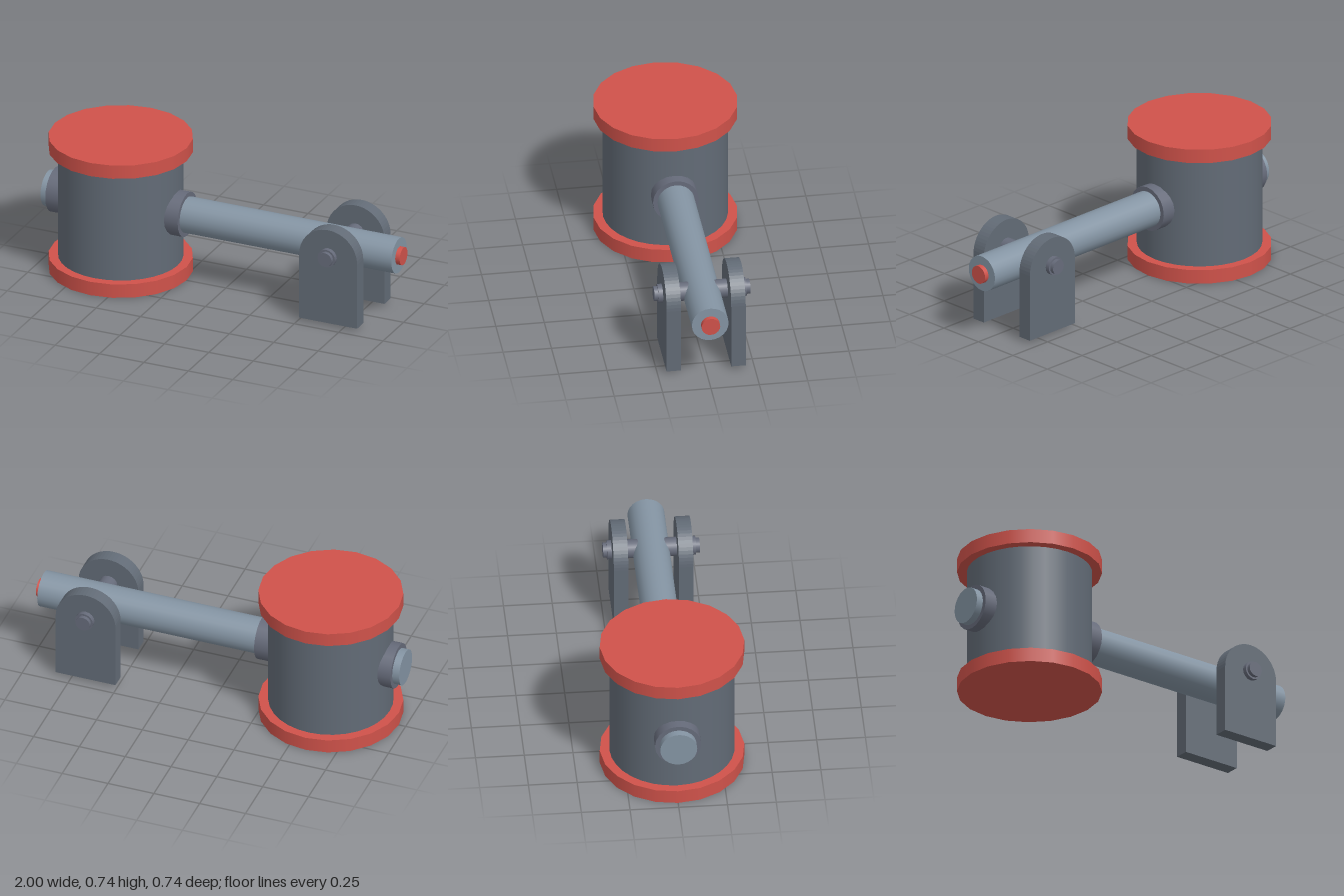
import * as THREE from 'three';

const paint = (name, color) => {
  const m = new THREE.MeshStandardMaterial({ color });
  m.name = name;
  return m;
};

export function createModel() {
  const model = new THREE.Group();
  model.name = 'drumAndShaft';
  const red = paint('red', 0xcf524a);
  const darkSteel = paint('dark steel', 0x626b76);
  const collarSteel = paint('collar steel', 0x666b7a);
  const lightSteel = paint('light steel', 0x8494a3);

  const add = (name, geometry, material, x, y, z) => {
    const mesh = new THREE.Mesh(geometry, material);
    mesh.name = name;
    mesh.position.set(x, y, z);
    model.add(mesh);
    return mesh;
  };

  // Cylinder spanning from a to b along one axis
  const rod = (name, axis, radius, a, b, sides, material, x, y, z) => {
    const g = new THREE.CylinderGeometry(radius, radius, b - a, sides);
    if (axis === 'x') g.rotateZ(-Math.PI / 2);
    if (axis === 'z') g.rotateX(Math.PI / 2);
    const mesh = add(name, g, material, x, y, z);
    mesh.position[axis] = (a + b) / 2;
    return mesh;
  };

  // Upright drum with two wider end caps
  const drumX = -0.592;
  rod('drum', 'y', 0.321, 0.07, 0.675, 32, darkSteel, drumX, 0, 0);
  rod('bottomCap', 'y', 0.371, 0, 0.075, 20, red, drumX, 0, 0);
  rod('topCap', 'y', 0.371, 0.67, 0.744, 20, red, drumX, 0, 0);

  // Shaft through the drum, with its collars and tip
  const shaftY = 0.372;
  rod('shaft', 'x', 0.095, -1, 0.975, 24, lightSteel, 0, shaftY, 0);
  rod('shaftTip', 'x', 0.048, 0.97, 1, 20, red, 0, shaftY, 0);
  rod('leftCollar', 'x', 0.119, -0.22 - 0.11, -0.217, 20, collarSteel, 0, shaftY, 0);
  rod('rightCollar', 'x', 0.119, -0.962, -0.85, 20, collarSteel, 0, shaftY, 0);

  // Round-topped bracket plates either side of the shaft
  const pinX = 0.67, plateR = 0.163, plateT = 0.075;
  const outline = new THREE.Shape();
  outline.moveTo(-plateR, 0.017);
  outline.lineTo(plateR, 0.017);
  outline.lineTo(plateR, 0.377);
  outline.absarc(0, 0.377, plateR, 0, Math.PI, false);
  outline.closePath();
  const plate = new THREE.ExtrudeGeometry(outline, { depth: plateT, bevelEnabled: false, curveSegments: 14 });
  plate.translate(0, 0, -plateT / 2);
  for (const side of [1, -1]) {
    add(side > 0 ? 'frontBracket' : 'backBracket', plate, darkSteel, pinX, 0, side * 0.167);
  }

  // Cross pin with narrower ends
  rod('crossPin', 'z', 0.049, -0.228, 0.228, 16, collarSteel, pinX, 0.39, 0);
  rod('crossPinEnds', 'z', 0.039, -0.248, 0.248, 16, collarSteel, pinX, 0.39, 0);

  return model;
}
